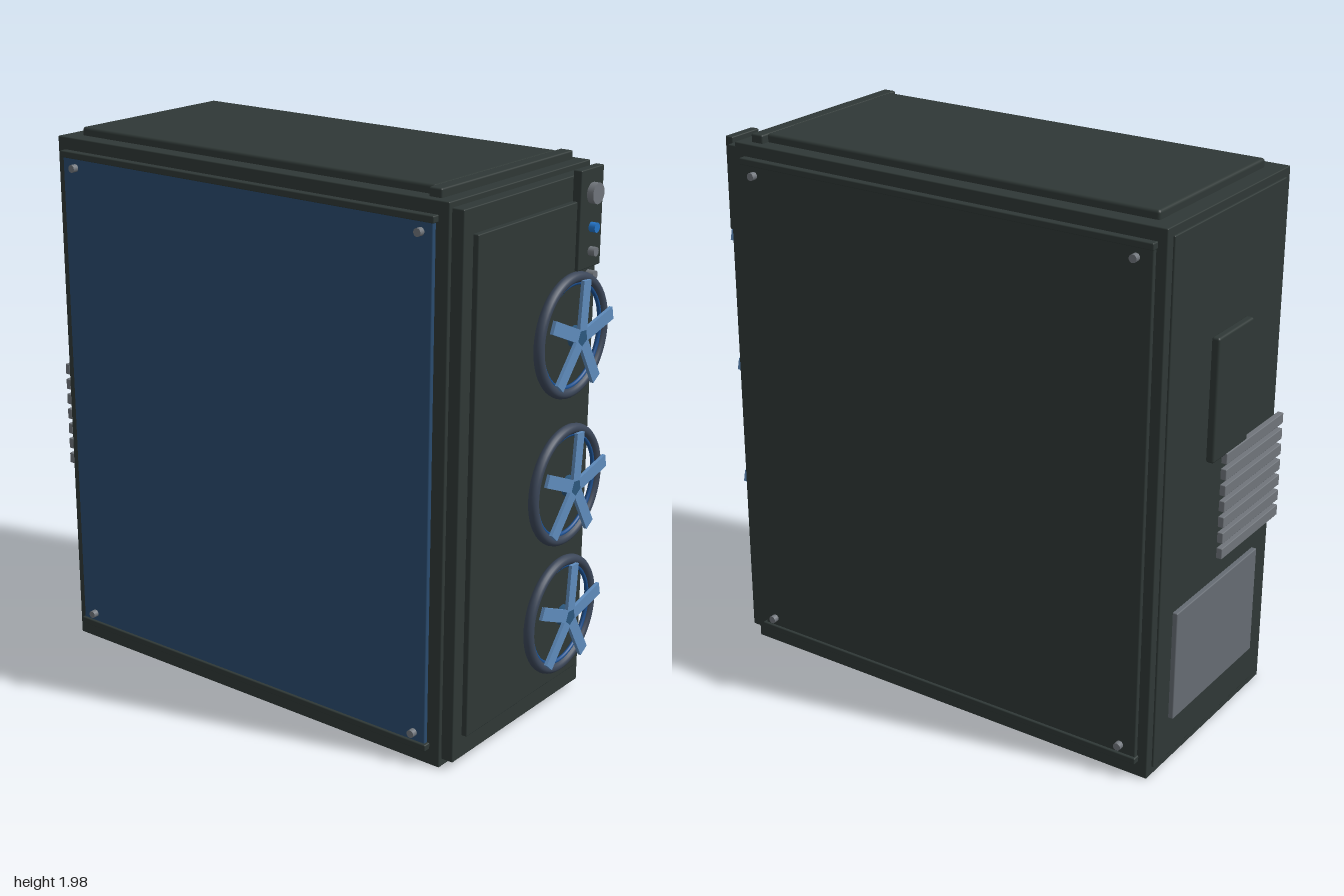
import * as THREE from 'three';
import { RoundedBoxGeometry } from 'three/addons/geometries/RoundedBoxGeometry.js';

const mat = (name, color, side = THREE.FrontSide) => {
  const m = new THREE.MeshStandardMaterial({ color, side });
  m.name = name;
  return m;
};

export function createModel() {
  const root = new THREE.Group();
  root.name = 'computerCase';

  const shell = mat('charcoal shell', 0x2f3836);
  const glass = mat('tinted blue glass', 0x2a4b6e);
  const metal = mat('grey metal', 0x70757b);
  const plate = mat('dull steel', 0x666c73);
  const rim = mat('slate fan rim', 0x3b4658);
  const glow = mat('blue light ring', 0x1b4f8f);
  const blade = mat('pale blue blade', 0x5f8cbd);
  const hubBlue = mat('deep blue hub', 0x2c587f);
  const power = mat('bright blue button', 0x2474c8);

  const add = (name, geometry, material, x, y, z, parent = root) => {
    const m = new THREE.Mesh(geometry, material);
    m.name = name;
    m.position.set(x, y, z);
    parent.add(m);
    return m;
  };
  // Softly bevelled box given by its minimum and maximum corners
  const box = (name, material, [x0, y0, z0], [x1, y1, z1], bevel = 0.004) => {
    const w = x1 - x0, h = y1 - y0, d = z1 - z0;
    const r = Math.min(bevel, Math.min(w, h, d) * 0.45);
    return add(name, new RoundedBoxGeometry(w, h, d, 2, r), material,
      (x0 + x1) / 2, (y0 + y1) / 2, (z0 + z1) / 2);
  };

  // Main body and back frame
  box('body', shell, [-0.41, 0, -0.953], [0.41, 1.95, 0.755]);
  box('backPanel', shell, [-0.375, 0.03, -0.96], [0.375, 1.92, -0.94]);

  // Front panel in two steps
  box('frontPanel', shell, [-0.395, 0.028, 0.75], [0.395, 1.93, 0.8]);
  box('frontInset', shell, [-0.343, 0.11, 0.79], [0.343, 1.845, 0.82]);

  // Top cover with front lip
  box('topCover', shell, [-0.35, 1.94, -0.89], [0.35, 1.98, 0.66], 0.01);
  box('topLip', shell, [-0.38, 1.94, 0.655], [0.38, 1.98, 0.705], 0.006);

  // Side panels, rails and corner screws
  const screwGeo = new THREE.CylinderGeometry(0.014, 0.014, 0.03, 16).rotateZ(Math.PI / 2);
  for (const s of [1, -1]) {
    const side = s > 0 ? 'right' : 'left';
    const span = (a, b) => (s > 0 ? [a, b] : [-b, -a]);
    const [p0, p1] = span(0.405, 0.426);
    box(side + 'SidePanel', s > 0 ? shell : glass, [p0, 0.06, -0.915], [p1, 1.9, 0.705]);
    const [r0, r1] = span(0.405, 0.436);
    for (const y of [0.07, 1.893])
      box(side + 'Rail', shell, [r0, y - 0.012, -0.92], [r1, y + 0.012, 0.715]);
    for (const y of [0.112, 1.848])
      for (const z of [-0.855, 0.66])
        add(side + 'Screw', screwGeo, metal, s * 0.432, y, z);
  }

  // Control strip and its buttons
  box('controlStrip', shell, [0.23, 1.61, 0.8], [0.37, 1.95, 0.833]);
  const buttons = [[1.866, 0.036, metal], [1.75, 0.017, power], [1.668, 0.016, metal], [1.587, 0.016, metal]];
  for (const [y, r, m] of buttons)
    add('button', new THREE.CylinderGeometry(r, r, 0.03, 24).rotateX(Math.PI / 2), m, 0.302, y, 0.842);

  // Three front fans, each with rim, light ring, hub and five blades
  const rimGeo = new THREE.TorusGeometry(0.192, 0.018, 14, 64);
  const ringGeo = new THREE.TorusGeometry(0.173, 0.007, 10, 64);
  const hubGeo = new THREE.CylinderGeometry(0.036, 0.036, 0.035, 20).rotateX(Math.PI / 2);
  const bladeGeo = new THREE.BoxGeometry(0.165, 0.044, 0.012).translate(0.106, 0, 0);
  for (const y of [1.467, 0.951, 0.481]) {
    const fan = new THREE.Group();
    fan.name = 'fan';
    fan.position.set(0, y, 0);
    root.add(fan);
    add('fanRim', rimGeo, rim, 0, 0, 0.957, fan);
    add('fanLightRing', ringGeo, glow, 0, 0, 0.957, fan);
    add('fanHub', hubGeo, hubBlue, 0, 0, 0.982, fan);
    for (let i = 0; i < 5; i++)
      add('fanBlade', bladeGeo, blade, 0, 0, 0.994, fan).rotation.z = THREE.MathUtils.degToRad(85 + 72 * i);
  }

  // Back: port plate, expansion slot covers and power supply
  box('portPlate', shell, [-0.12, 1.075, -0.996], [0.12, 1.515, -0.966], 0.008);
  for (let i = 0; i < 7; i++) {
    const y = 1.06 - i * 0.059;
    box('slotCover', metal, [-0.385, y - 0.02, -1], [0.03, y + 0.02, -0.978], 0.003);
  }
  box('powerSupply', plate, [-0.285, 0.18, -0.978], [0.285, 0.588, -0.95]);

  return root;
}
